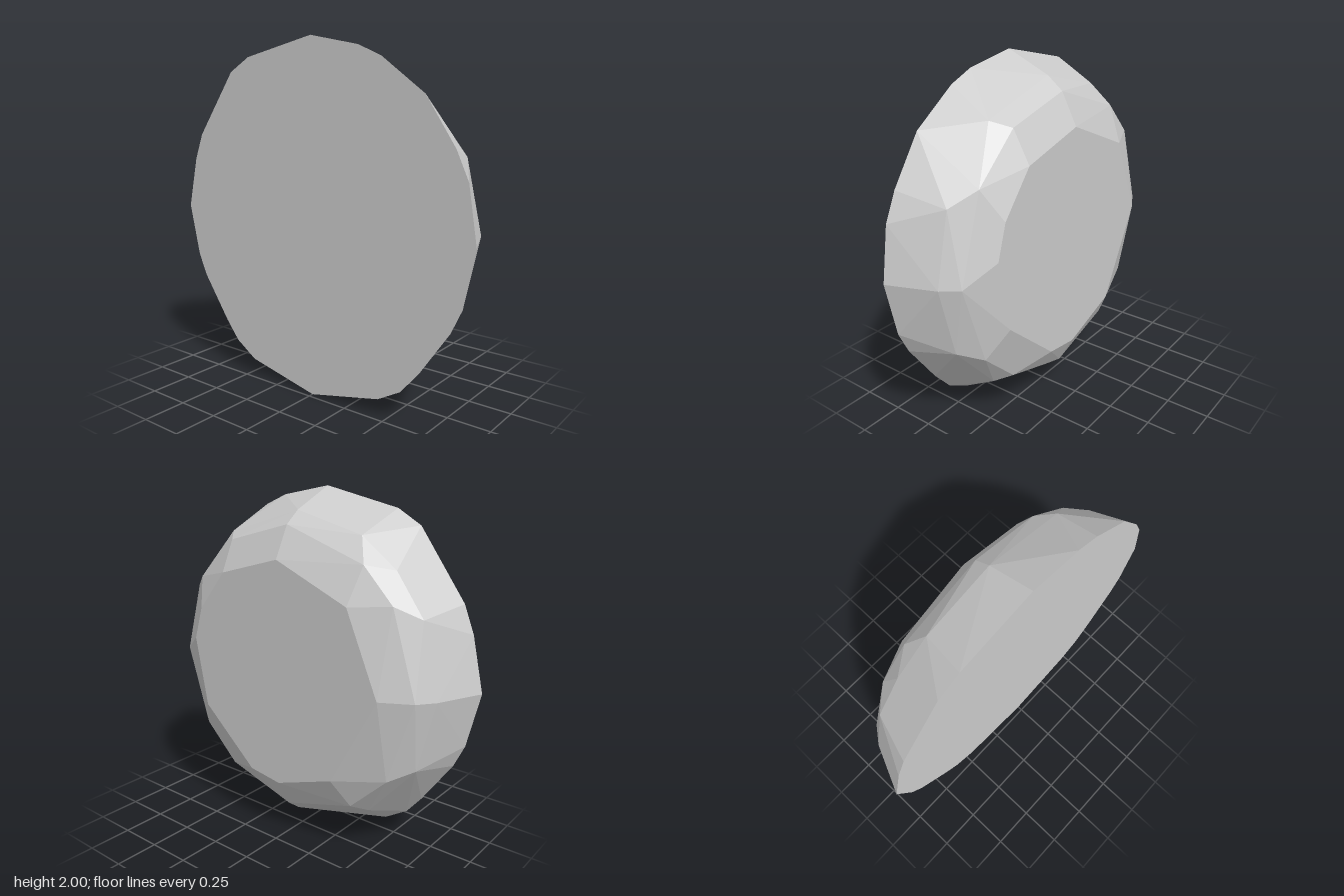
import * as THREE from 'three';
import { ConvexGeometry } from 'three/addons/geometries/ConvexGeometry.js';

// Points of a ring at depth z, from angles in degrees
const ring = (degrees, radius, z) => degrees.map((d) => {
  const a = THREE.MathUtils.degToRad(d);
  return new THREE.Vector3(radius * Math.cos(a), 1 + radius * Math.sin(a), z);
});
const outline = (pairs, z) => pairs.map(([x, y]) => new THREE.Vector3(x, y, z));

export function createModel() {
  const group = new THREE.Group();
  group.name = 'facetedStone';

  // Flat front face: wide irregular outline
  const front = outline([
    [0, 2], [0.31, 1.94], [0.45, 1.88], [0.7, 1.7], [0.87, 1.45], [0.94, 1.3],
    [0.99, 1], [0.93, 0.69], [0.87, 0.56], [0.7, 0.31], [0.59, 0.18], [0.45, 0.1],
    [0, 0], [-0.46, 0.1], [-0.6, 0.19], [-0.69, 0.3], [-0.87, 0.56], [-0.93, 0.69],
    [-1, 1], [-0.93, 1.3], [-0.87, 1.45], [-0.6, 1.82], [-0.46, 1.9],
  ], 0.22);

  // Chipped shoulder: two rings of uneven facets
  const shoulder = [
    ...ring([0, 26, 57, 90, 118, 135, 153, 180, 207, 235, 270, 305, 333], 0.885, -0.04),
    ...ring([0, 35, 60, 90, 127, 145, 180, 215, 237, 270, 303, 325], 0.815, -0.13),
  ];

  // Flat back face: smaller ten-sided outline
  const back = outline([
    [0.4, 1.53], [0, 1.64], [-0.455, 1.45], [-0.65, 1], [-0.37, 0.48],
    [0, 0.35], [0.21, 0.38], [0.57, 0.7], [0.65, 1.11], [0.59, 1.3],
  ], -0.22);

  const stone = new THREE.Mesh(
    new ConvexGeometry([...front, ...shoulder, ...back]),
    new THREE.MeshStandardMaterial({ color: 0xcccccc, flatShading: true }),
  );
  stone.name = 'stone';
  group.add(stone);
  return group;
}
